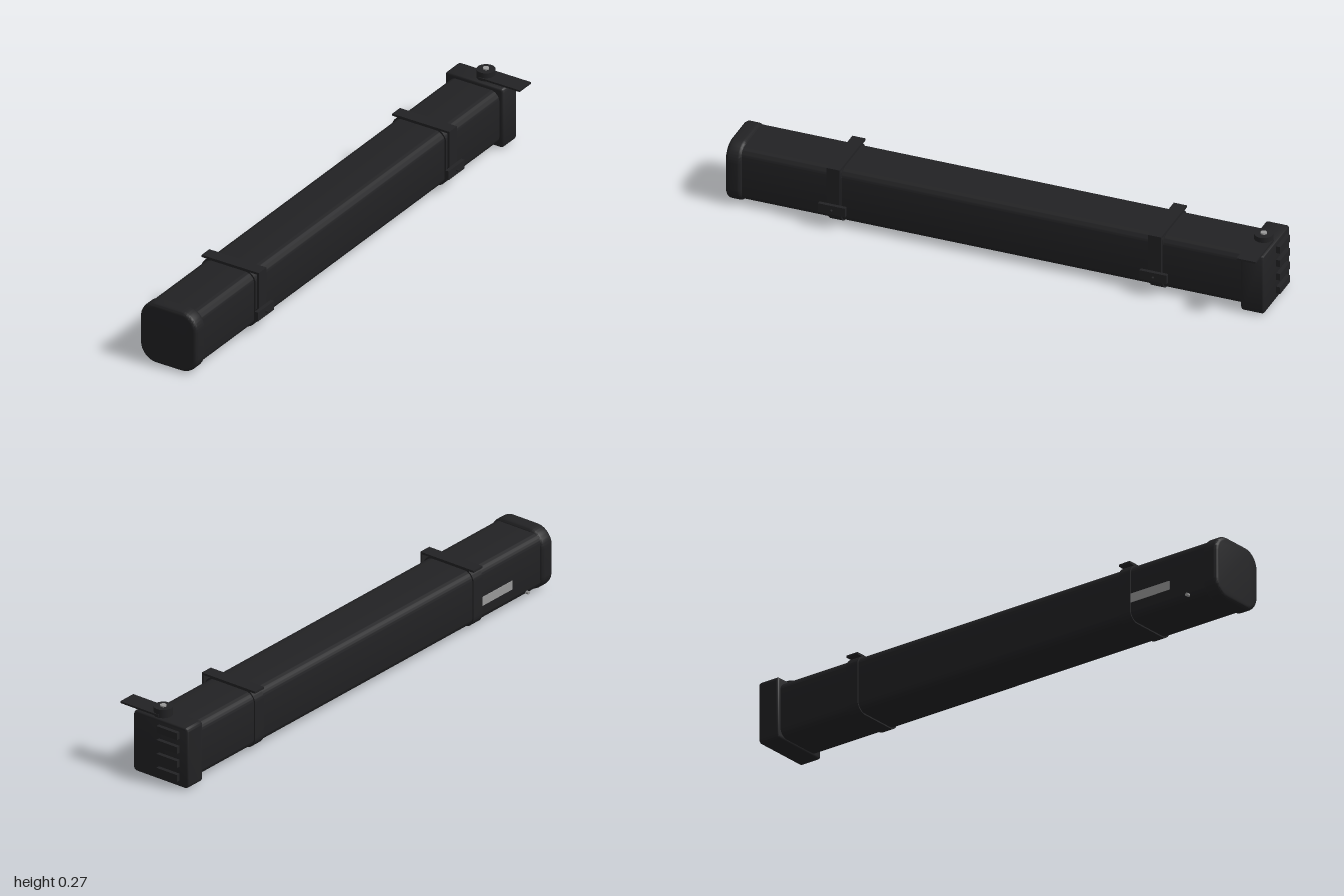
import * as THREE from 'three';
import { toCreasedNormals } from 'three/addons/utils/BufferGeometryUtils.js';

const paint = (color) => new THREE.MeshStandardMaterial({ color });
const black = paint(0x222224);
const grey = paint(0x999999);

// Rounded rectangle outline
function roundRect(Type, x0, x1, y0, y1, r) {
  const s = new Type();
  s.absarc(x1 - r, y0 + r, r, -Math.PI / 2, 0);
  s.absarc(x1 - r, y1 - r, r, 0, Math.PI / 2);
  s.absarc(x0 + r, y1 - r, r, Math.PI / 2, Math.PI);
  s.absarc(x0 + r, y0 + r, r, Math.PI, Math.PI * 1.5);
  s.closePath();
  return s;
}

// Outline swept from z0 to z1, with optional rounded rims
function sweep(shape, z0, z1, bevel = 0) {
  const g = new THREE.ExtrudeGeometry(shape, {
    depth: z1 - z0 - 2 * bevel, curveSegments: 10,
    bevelEnabled: bevel > 0, bevelThickness: bevel, bevelSize: bevel,
    bevelOffset: -bevel, bevelSegments: 4,
  });
  g.translate(0, 0, z0 + bevel);
  return toCreasedNormals(g, 0.6);
}

function add(parent, name, geometry, material = black) {
  const m = new THREE.Mesh(geometry, material);
  m.name = name;
  parent.add(m);
  return m;
}

// Box given by its limits
function block(parent, name, x0, x1, y0, y1, z0, z1, material) {
  const m = add(parent, name, new THREE.BoxGeometry(x1 - x0, y1 - y0, z1 - z0), material);
  m.position.set((x0 + x1) / 2, (y0 + y1) / 2, (z0 + z1) / 2);
  return m;
}

function rod(parent, name, r, length, x, y, z, alongX, material) {
  const m = add(parent, name, new THREE.CylinderGeometry(r, r, length, 28), material);
  m.position.set(x, y, z);
  if (alongX) m.rotation.z = Math.PI / 2;
  return m;
}

// Band round the tube with a flat top, a hanging side plate and a clamp
function makeStrap(z) {
  const strap = new THREE.Group();
  strap.name = 'strap';
  const band = roundRect(THREE.Shape, -0.142, 0.078, 0.008, 0.226, 0.042);
  band.holes.push(roundRect(THREE.Path, -0.136, 0.072, 0.014, 0.22, 0.038));
  add(strap, 'strapBand', sweep(band, -0.024, 0.024));
  block(strap, 'strapTop', -0.142, 0.091, 0.222, 0.23, -0.024, 0.024);
  block(strap, 'strapSide', 0.084, 0.091, 0.06, 0.23, -0.024, 0.024);
  block(strap, 'clampSpacer', 0.072, 0.095, 0.064, 0.086, -0.02, 0.02);
  block(strap, 'clampBar', 0.091, 0.105, 0.058, 0.092, -0.05, 0.05);
  rod(strap, 'clampPin', 0.004, 0.012, 0.109, 0.075, 0, true);
  strap.position.z = z;
  return strap;
}

export function createModel() {
  const model = new THREE.Group();
  model.name = 'storageTube';

  // Long square tube with rounded corners
  add(model, 'tube', sweep(roundRect(THREE.Shape, -0.137, 0.072, 0.013, 0.22, 0.036), -0.92, 0.96));

  // Front cap with softened rims
  add(model, 'frontCap', sweep(roundRect(THREE.Shape, -0.147, 0.085, 0, 0.232, 0.066), 0.94, 1, 0.014));

  // Rear block
  add(model, 'rearBlock', sweep(roundRect(THREE.Shape, -0.15, 0.088, 0.005, 0.235, 0.014), -0.985, -0.9, 0.009));

  // Ribs on the rear face
  for (let i = 0; i < 4; i++) {
    const y = 0.043 + i * 0.053;
    block(model, 'rearRib', -0.116, -0.026, y - 0.013, y + 0.013, -1, -0.98);
  }

  // Turning knob and lever plate on the rear block
  rod(model, 'knob', 0.033, 0.034, -0.012, 0.249, -0.945);
  rod(model, 'knobScrew', 0.011, 0.02, -0.012, 0.261, -0.945, false, grey);
  block(model, 'leverPlate', -0.02, 0.148, 0.24, 0.247, -0.98, -0.91);

  // Two straps
  for (const z of [0.598, -0.585]) model.add(makeStrap(z));

  // Pale side plate and small stud near the front
  block(model, 'sidePlate', -0.139, -0.135, 0.075, 0.108, 0.6, 0.79, grey);
  rod(model, 'stud', 0.006, 0.014, -0.138, 0.032, 0.87, true, grey);

  return model;
}
